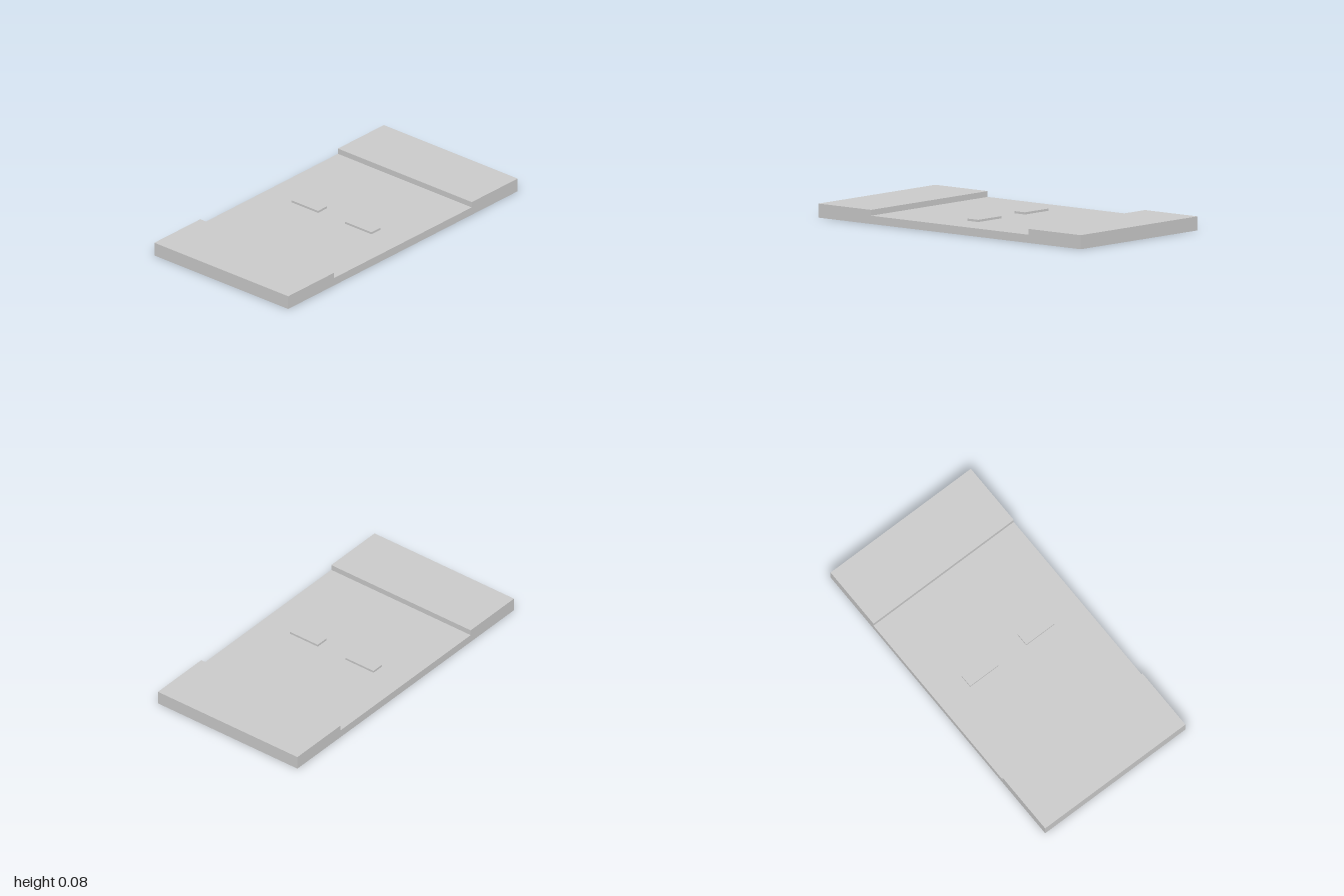
import * as THREE from 'three';

const DEPTH = 1.03;
const DECK = 0.048; // height of the recessed middle
const TOP = 0.082; // height of the raised ends

export function createModel() {
  const model = new THREE.Group();
  const material = new THREE.MeshStandardMaterial({ color: 0xcccccc, flatShading: true });

  function add(name, geometry, x, y, z) {
    const mesh = new THREE.Mesh(geometry, material);
    mesh.name = name;
    mesh.position.set(x, y, z);
    model.add(mesh);
  }

  // Base plate with a raised step at each end, as one extruded profile
  const profile = new THREE.Shape([
    [-1, 0], [1, 0], [1, TOP], [0.6, TOP],
    [0.6, DECK], [-0.6, DECK], [-0.6, TOP], [-1, TOP],
  ].map(([x, y]) => new THREE.Vector2(x, y)));
  const plate = new THREE.ExtrudeGeometry(profile, { depth: DEPTH, bevelEnabled: false });
  add('steppedPlate', plate, 0, 0, -DEPTH / 2);

  // Two small pads on the recessed deck
  const padHeight = 0.013;
  for (const [name, side] of [['frontPad', 1], ['backPad', -1]]) {
    const pad = new THREE.BoxGeometry(0.08, padHeight, 0.206);
    add(name, pad, 0, DECK + padHeight / 2, side * 0.206);
  }

  return model;
}
